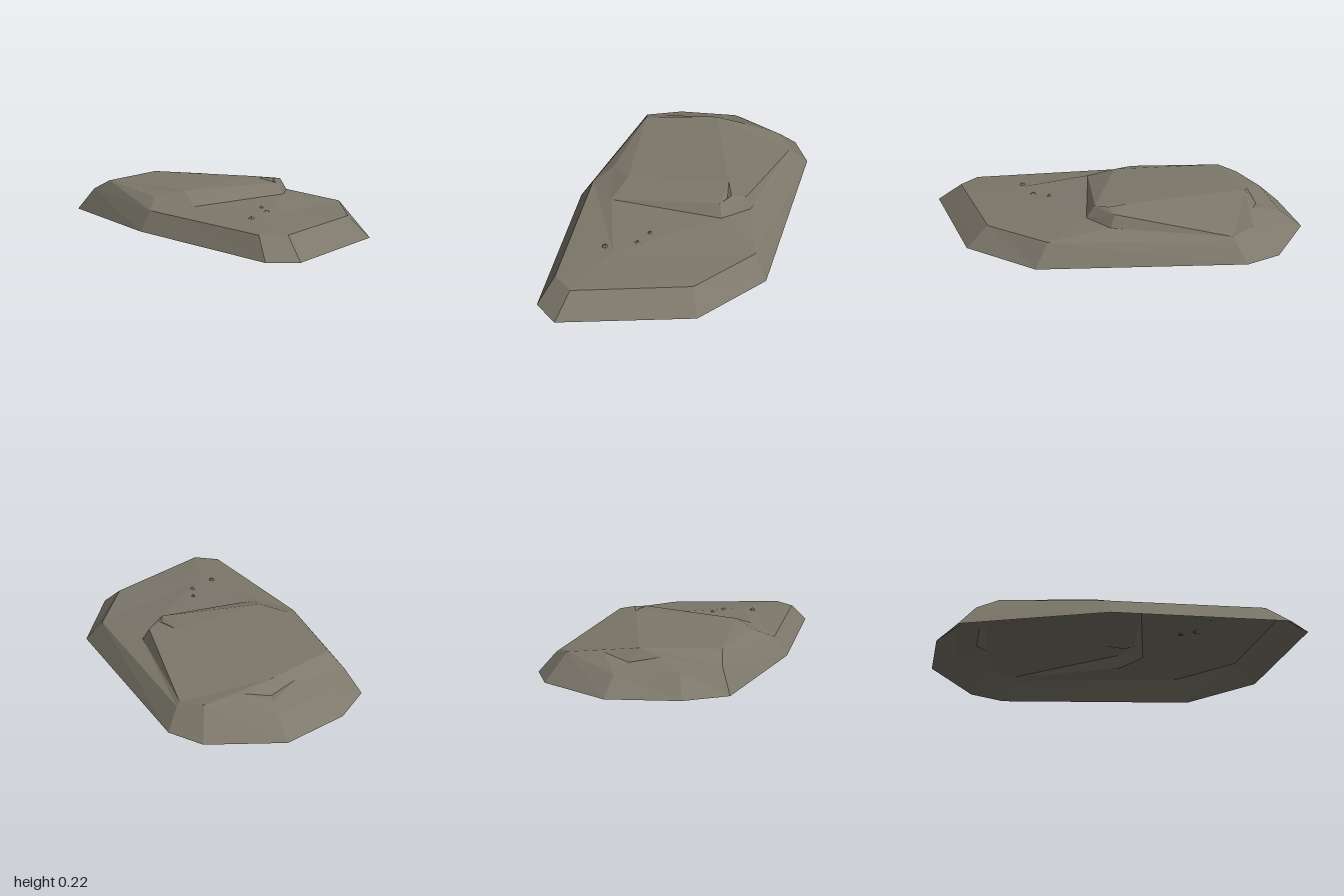
import * as THREE from 'three';

const stone = new THREE.MeshStandardMaterial({ color: 0x7d786b, side: THREE.DoubleSide });
stone.name = 'weathered stone';

// flat facets from point polygons, each fanned and turned to face upward
function facets(name, polygons) {
  const pos = [];
  const [a, b, c] = [0, 0, 0].map(() => new THREE.Vector3());
  for (const poly of polygons) {
    for (let i = 1; i < poly.length - 1; i++) {
      let tri = [poly[0], poly[i], poly[i + 1]];
      a.fromArray(tri[0]);
      b.fromArray(tri[1]).sub(a);
      c.fromArray(tri[2]).sub(a);
      if (b.cross(c).y < 0) tri = [tri[0], tri[2], tri[1]];
      pos.push(...tri.flat());
    }
  }
  const geometry = new THREE.BufferGeometry();
  geometry.setAttribute('position', new THREE.Float32BufferAttribute(pos, 3));
  geometry.computeVertexNormals();
  const mesh = new THREE.Mesh(geometry, stone);
  mesh.name = name;
  return mesh;
}

export function createModel() {
  const group = new THREE.Group();
  group.name = 'flatRock';

  // ground outline and the rim above it, both starting at the back right corner
  const base = [
    [-0.66, 0.02, -0.575], [0.41, 0, -0.575], [0.78, 0, -0.31], [1, 0, 0.36], [0.9, 0, 0.49],
    [0, 0.02, 0.57], [-0.78, 0.02, 0.46], [-0.92, 0.02, 0.26], [-1, 0.02, -0.1], [-0.83, 0.02, -0.47],
  ];
  const rim = [
    [-0.6, 0.115, -0.5], [0.35, 0.115, -0.5], [0.67, 0.105, -0.26], [0.865, 0.105, 0.32], [0.78, 0.105, 0.43],
    [-0.01, 0.12, 0.5], [-0.7, 0.14, 0.4], [-0.81, 0.125, 0.22], [-0.88, 0.11, -0.09], [-0.7, 0.15, -0.4],
  ];
  group.add(facets('slopingSides', base.map((p, i) => {
    const j = (i + 1) % base.length;
    return [p, base[j], rim[j], rim[i]];
  })));
  const [backR, backL, sideL, frontL, frontL2, front, frontR, sideR1, sideR2, sideR3] = rim;

  // foot of the step
  const foot1 = [0.03, 0.148, -0.4], foot2 = [0.155, 0.15, -0.27], foot3 = [0.15, 0.145, 0.34];
  // lower ledge
  const mid = [0.55, 0.13, 0.2];
  group.add(facets('lowerLedge', [
    [mid, sideL, backL, foot2, foot3, front, frontL2, frontL, sideL],
    [backL, foot1, foot2], [backL, backR, foot1],
  ]));

  // upper slab corners
  const slabBack = [-0.59, 0.13, -0.48], slabL = [0.01, 0.21, -0.37], lip = [0.11, 0.21, -0.25];
  const peak = [-0.08, 0.222, -0.25], crackTop = [0.04, 0.221, -0.295], crackLow = [0.05, 0.207, -0.275];
  const brow = [0, 0.203, 0.29], frontMid = [-0.1, 0.175, 0.41], frontEnd = [-0.59, 0.196, 0.37];
  const slabR = [-0.7, 0.2, -0.02];
  group.add(facets('upperSlab', [
    [slabR, frontEnd, brow, peak], [slabR, peak, slabL, slabBack], [slabR, slabBack, sideR3],
    [peak, crackTop, slabL], [crackTop, lip, slabL], [peak, brow, lip], [lip, brow, foot3],
    [brow, frontEnd, frontMid],
  ]));
  group.add(facets('slabCrack', [
    [crackTop, crackLow, lip], [peak, crackLow, crackTop], [peak, lip, crackLow],
  ]));
  group.add(facets('slabStep', [
    [backR, foot1, slabBack], [slabBack, foot1, slabL], [slabL, foot1, foot2, lip], [lip, foot2, foot3],
    [sideR3, slabBack, backR],
  ]));
  group.add(facets('slabFront', [
    [foot3, front, frontMid, brow], [front, frontR, frontEnd, frontMid], [frontR, slabR, frontEnd],
  ]));

  // right shoulder with a chipped notch
  const n1 = [-0.72, 0.17, -0.2], n2 = [-0.8, 0.135, -0.07], n3 = [-0.72, 0.167, 0.1], n4 = [-0.755, 0.138, -0.06];
  group.add(facets('rightShoulder', [
    [frontR, n3, slabR], [frontR, sideR1, n3], [sideR1, n2, n3], [sideR1, sideR2, n2],
    [sideR2, sideR3, n1], [sideR2, n1, n2], [sideR3, slabR, n1],
  ]));
  group.add(facets('notch', [[slabR, n3, n4], [slabR, n4, n1], [n4, n2, n1], [n4, n3, n2]]));

  // small bumps on the ledge
  for (const [x, y, z, r] of [[0.36, 0.143, 0.06, 0.015], [0.45, 0.138, 0.1, 0.026], [0.515, 0.134, 0.255, 0.017]]) {
    const geometry = new THREE.ConeGeometry(r, 0.014, 5, 1, true).toNonIndexed();
    geometry.computeVertexNormals();
    const bump = new THREE.Mesh(geometry, stone);
    bump.name = 'smallBump';
    bump.position.set(x, y, z);
    bump.rotation.y = x * 9;
    group.add(bump);
  }
  return group;
}
